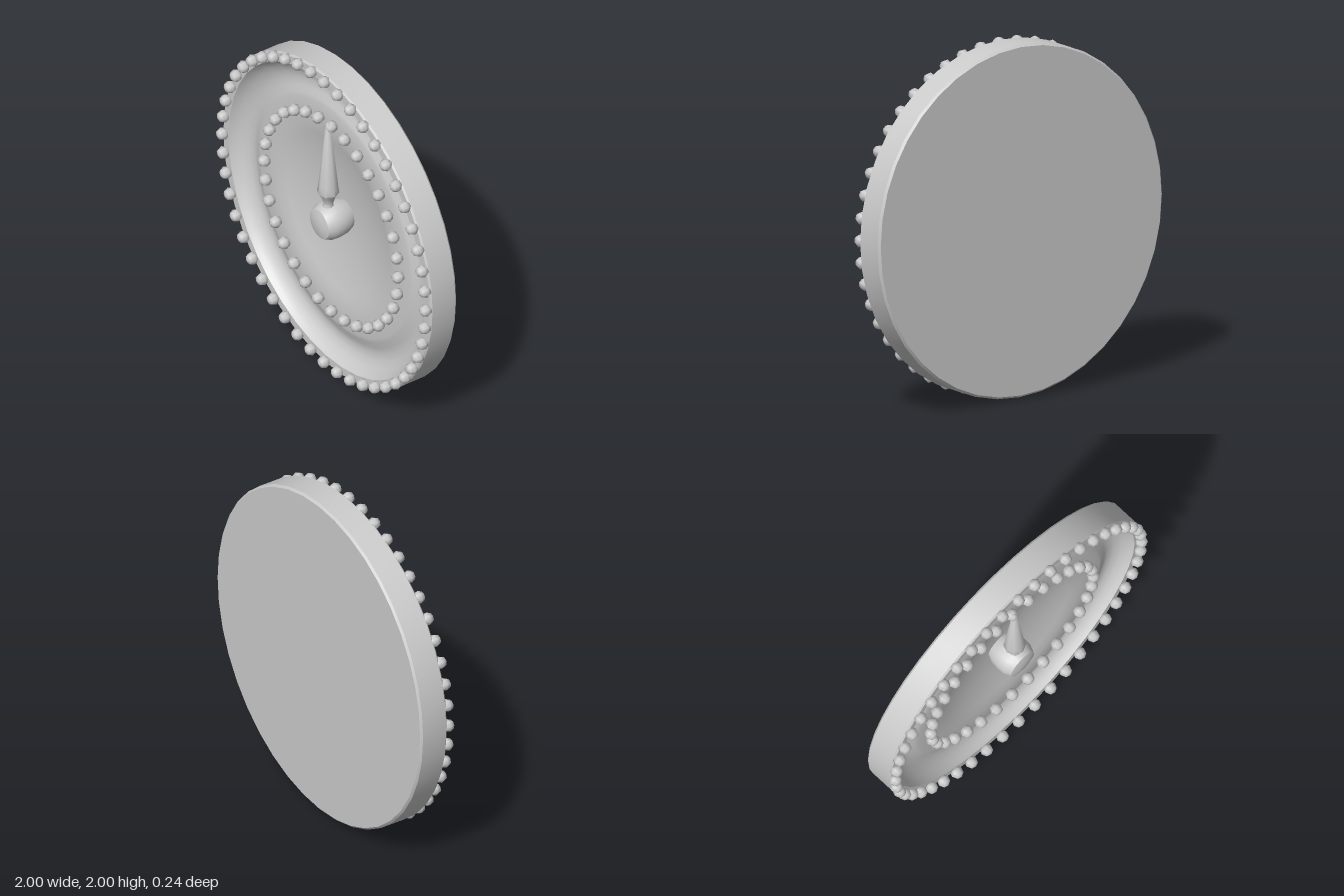
import * as THREE from 'three';
import { toCreasedNormals } from 'three/addons/utils/BufferGeometryUtils.js';

const material = new THREE.MeshStandardMaterial({ color: 0xcccccc });

// Turned solid from [radius, height] pairs listed from base to top
function turned(name, points, sides, crease = 0.6) {
  const profile = points.map(([r, h]) => new THREE.Vector2(r, h));
  const geometry = toCreasedNormals(new THREE.LatheGeometry(profile, sides), crease);
  const mesh = new THREE.Mesh(geometry, material);
  mesh.name = name;
  return mesh;
}

// Evenly spaced ring of low-poly beads facing the front
function beadRing(name, count, radius, z) {
  const ring = new THREE.Group();
  ring.name = name;
  const geometry = new THREE.SphereGeometry(0.037, 7, 4).rotateX(Math.PI / 2);
  for (let i = 0; i < count; i++) {
    const a = (i / count) * Math.PI * 2;
    const bead = new THREE.Mesh(geometry, material);
    bead.name = 'bead';
    bead.position.set(Math.sin(a) * radius, Math.cos(a) * radius, z);
    bead.rotation.z = -a;
    ring.add(bead);
  }
  return ring;
}

export function createModel() {
  const model = new THREE.Group();
  model.name = 'dial';
  const face = new THREE.Group();
  face.name = 'dialFace';
  face.position.y = 1;
  model.add(face);

  // Disc: flat back, bevelled side, raised rim, round groove, flat ring and shallow dish
  const profile = [[0, -0.12], [0.978, -0.12], [0.99, -0.108], [0.99, 0.045], [0.98, 0.055], [0.93, 0.055],
    [0.915, 0.03], [0.89, 0.0], [0.85, -0.022], [0.81, -0.03], [0.77, -0.022], [0.735, -0.006], [0.71, 0], [0.555, 0]];
  for (let i = 1; i <= 8; i++) {
    const t = 1 - i / 8;
    profile.push([0.555 * t, -0.07 * (1 - t * t)]);
  }
  const disc = turned('disc', profile, 40);
  disc.rotation.x = Math.PI / 2;
  face.add(disc);

  face.add(beadRing('outerBeads', 48, 0.963, 0.073));
  face.add(beadRing('innerBeads', 32, 0.635, 0.025));

  // Rounded hub in the middle of the dish
  const hub = turned('hub', [[0, -0.075], [0.085, -0.075], [0.105, -0.03], [0.111, 0.02],
    [0.108, 0.065], [0.09, 0.105], [0.05, 0.116], [0, 0.119]], 20, 0.8);
  hub.rotation.x = Math.PI / 2;
  face.add(hub);

  // Tapered pointer, flared near the hub and narrow at the tip
  const pointer = turned('pointer', [[0, 0.05], [0.04, 0.08], [0.027, 0.12], [0.04, 0.165], [0.062, 0.2],
    [0.055, 0.25], [0.014, 0.655], [0, 0.675]], 8, 0.9);
  pointer.position.z = 0.045;
  face.add(pointer);

  return model;
}
